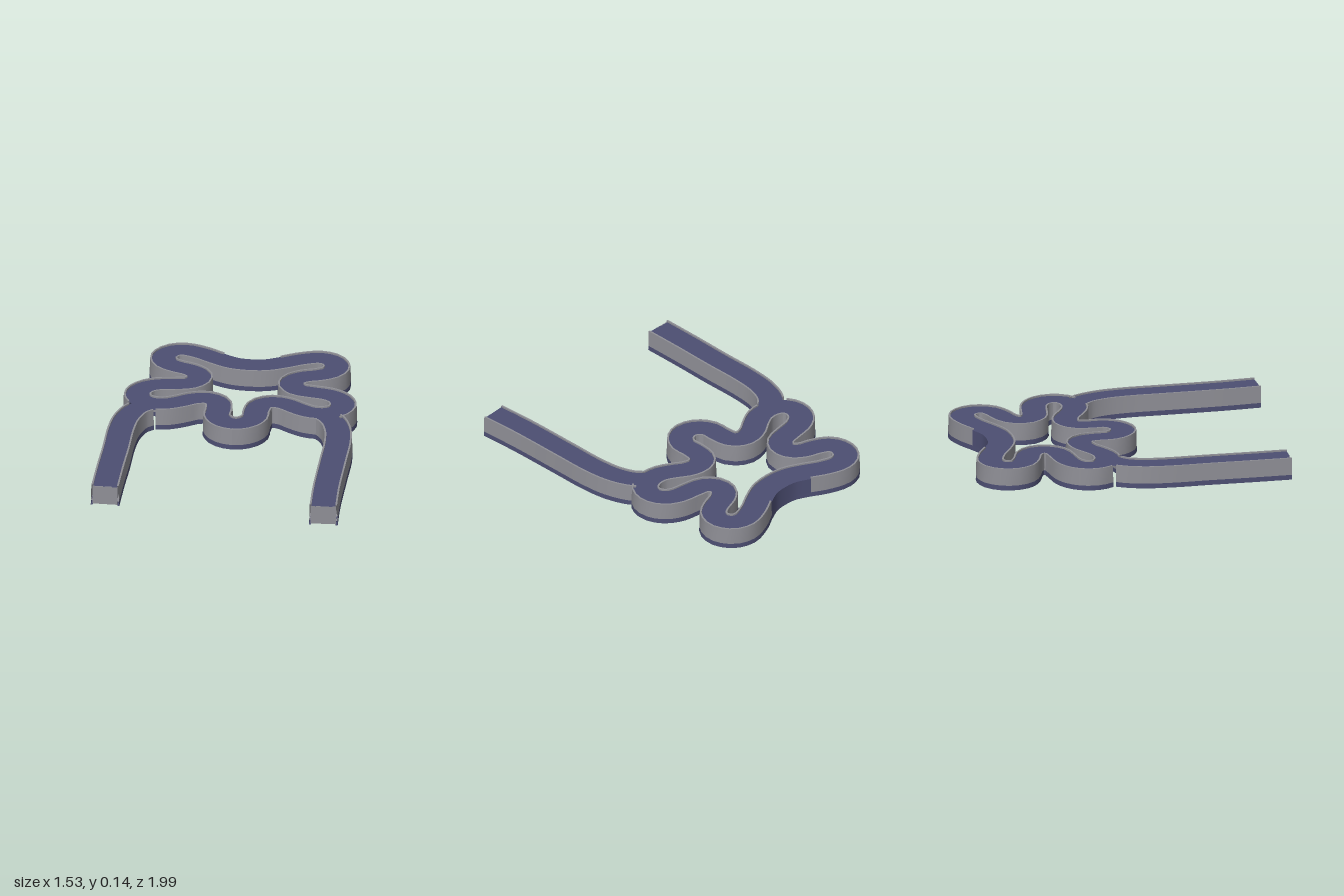
import * as THREE from 'three';

const blue = new THREE.MeshStandardMaterial({ name: 'road blue', color: 0x4c4e72, side: THREE.DoubleSide });
const grey = new THREE.MeshStandardMaterial({ name: 'wall grey', color: 0x8f8f96, side: THREE.DoubleSide });

// Half of the winding loop on the -x side, from front centre to back centre (x, z)
const HALF = [
  [0, 0], [-0.07, -0.025], [-0.115, -0.09], [-0.116, -0.18], [-0.135, -0.27], [-0.2, -0.31],
  [-0.28, -0.295], [-0.37, -0.24], [-0.45, -0.205], [-0.54, -0.207], [-0.61, -0.25], [-0.633, -0.325],
  [-0.6, -0.4], [-0.53, -0.445], [-0.42, -0.465], [-0.335, -0.485], [-0.288, -0.54], [-0.295, -0.61],
  [-0.355, -0.66], [-0.44, -0.69], [-0.51, -0.735], [-0.533, -0.81], [-0.495, -0.885], [-0.42, -0.912],
  [-0.31, -0.88], [-0.2, -0.82], [-0.1, -0.776], [0, -0.765],
];
const LEFT_LEG = [[0.677, 0.985], [0.665, 0.75], [0.662, 0.4], [0.66, 0.15], [0.641, 0], [0.595, -0.12], [0.53, -0.195]];
const RIGHT_LEG = [[-0.68, 0.9], [-0.68, 0.65], [-0.676, 0.4], [-0.676, 0.15], [-0.66, 0], [-0.615, -0.12], [-0.54, -0.195]];

// Evenly spaced samples, each with a point, tangent and sideways direction
function samplePath(list, count, closed) {
  const curve = new THREE.CatmullRomCurve3(list.map(([x, z]) => new THREE.Vector3(x, 0, z)), closed, 'centripetal');
  return Array.from({ length: count + 1 }, (_, i) => {
    const p = curve.getPointAt(i / count), t = curve.getTangentAt(i / count);
    return { p, t, n: new THREE.Vector3(-t.z, 0, t.x) };
  });
}

const at = (s, off, y) => new THREE.Vector3(s.p.x + s.n.x * off, y, s.p.z + s.n.z * off);

// Sweep a profile of [offset, height] points along the samples; each profile edge keeps its own vertices
function sweep(name, samples, profile, material, keep = () => true) {
  const pos = [], index = [];
  for (let e = 0; e + 1 < profile.length; e++) {
    const base = pos.length / 3;
    for (const s of samples) for (const [off, y] of [profile[e], profile[e + 1]]) pos.push(...at(s, off, y).toArray());
    for (let i = 0; i + 1 < samples.length; i++) {
      if (!keep(samples[i], samples[i + 1])) continue;
      const a = base + i * 2;
      index.push(a, a + 1, a + 2, a + 1, a + 3, a + 2);
    }
  }
  const g = new THREE.BufferGeometry();
  g.setAttribute('position', new THREE.Float32BufferAttribute(pos, 3));
  g.setIndex(index);
  g.computeVertexNormals();
  const mesh = new THREE.Mesh(g, material);
  mesh.name = name;
  return mesh;
}

const sided = (profile, side) => (side > 0 ? profile : profile.map(([o, y]) => [-o, y]).reverse());

const WALL = [[0.073, 0.03], [0.073, 0.138], [0.084, 0.138], [0.0865, 0.03], [0.073, 0.03]];
const SKIRT = [[0.076, 0], [0.076, 0.03], [0.0865, 0.03], [0.088, 0], [0.076, 0]];
const SHOULDER = [[0.073, 0.128], [0.084, 0.128], [0.0865, 0.03]];

// Road surface with a raised wall and a skirt on each side, left open where it meets another path
function track(name, samples, others) {
  const group = new THREE.Group();
  group.name = name;
  group.add(sweep('roadSurface', samples, [[-0.074, 0.128], [0.074, 0.128]], blue));
  for (const side of [1, -1]) {
    const clear = (a, b) => {
      const m = at(a, side * 0.08, 0).add(at(b, side * 0.08, 0)).multiplyScalar(0.5);
      return others.every((o) => o.every((s) => s.p.distanceTo(m) > 0.078));
    };
    const inGap = (a, b) => side < 0 && a.p.z < -0.7 && Math.abs(a.p.x + b.p.x) < 0.4;
    group.add(sweep('wall', samples, sided(WALL, side), grey, (a, b) => clear(a, b) && !inGap(a, b)));
    group.add(sweep('skirt', samples, sided(SKIRT, side), blue, clear));
    if (name === 'loop') group.add(sweep('openShoulder', samples, sided(SHOULDER, side), blue, inGap));
  }
  return group;
}

// Grey plate closing the free end of a leg
function endCap(s) {
  const cap = new THREE.Mesh(new THREE.BoxGeometry(0.155, 0.12, 0.006), grey);
  cap.name = 'endCap';
  cap.position.set(s.p.x + s.t.x * 0.003, 0.068, s.p.z + s.t.z * 0.003);
  cap.rotation.y = Math.atan2(s.t.x, s.t.z);
  return cap;
}

export function createModel() {
  const model = new THREE.Group();
  model.name = 'windingTrack';
  const mirrored = HALF.slice(1, -1).reverse().map(([x, z]) => [-x, z]);
  const loop = samplePath([...HALF, ...mirrored], 150, true);
  const legs = [LEFT_LEG, RIGHT_LEG].map((l) => samplePath(l, 36, false));
  model.add(track('loop', loop, legs));
  legs.forEach((leg, i) => {
    const group = track(i ? 'rightLeg' : 'leftLeg', leg, [loop]);
    group.add(endCap(leg[0]));
    model.add(group);
  });
  return model;
}
